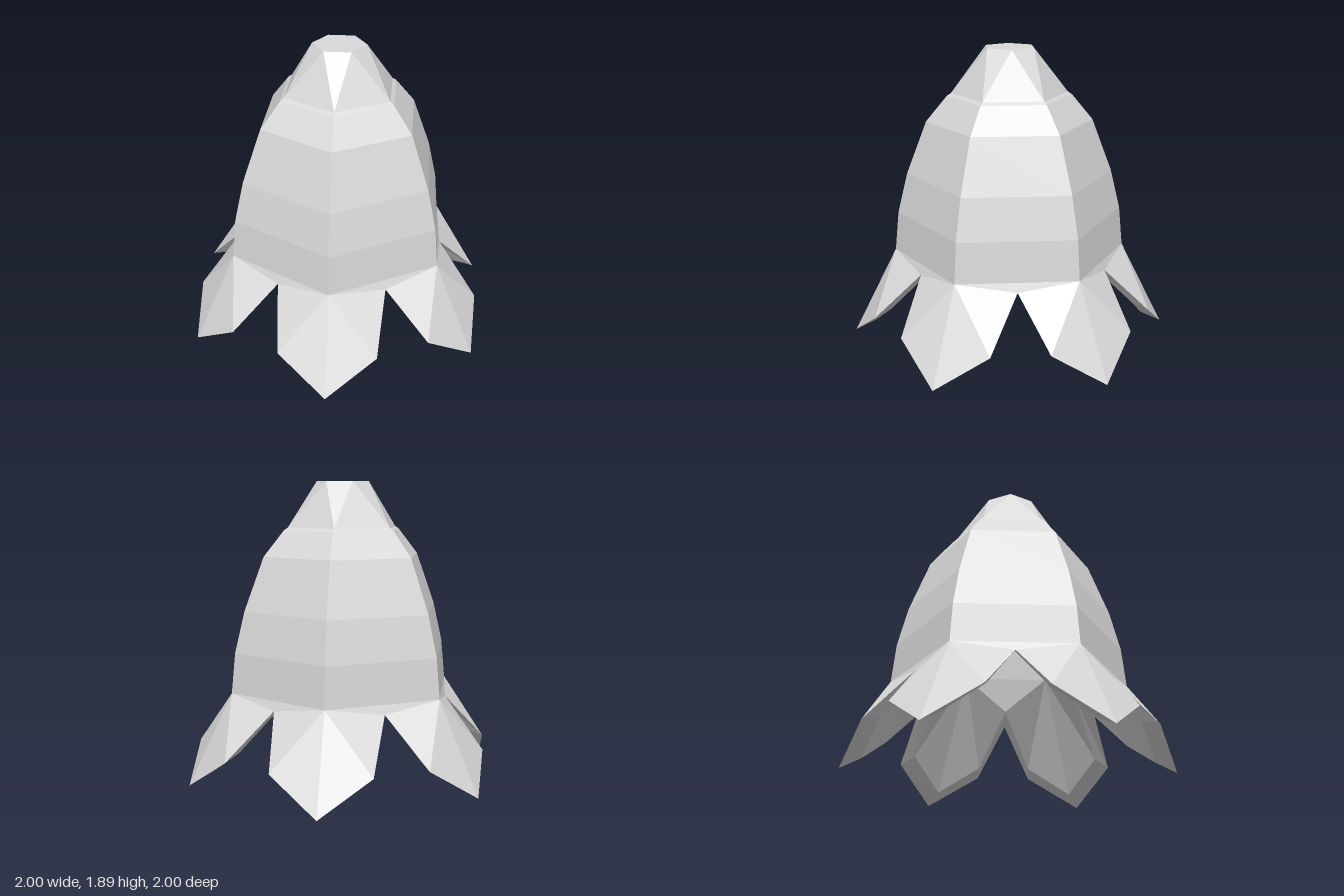
import * as THREE from 'three';

const SIDES = 6;
const START = 15; // degrees, first corner of the hexagon

// Point from angle (degrees), radius and height
const polar = (deg, r, y) => {
  const a = THREE.MathUtils.degToRad(deg);
  return new THREE.Vector3(r * Math.cos(a), y, r * Math.sin(a));
};

// Collects triangles and quads into a faceted mesh
function facets(name, material, build) {
  const points = [];
  const tri = (a, b, c, flip = false) => points.push(...(flip ? [a, c, b] : [a, b, c]));
  const quad = (a, b, c, d, flip = false) => { tri(a, b, c, flip); tri(a, c, d, flip); };
  build(tri, quad);
  const geometry = new THREE.BufferGeometry().setFromPoints(points);
  geometry.computeVertexNormals();
  const mesh = new THREE.Mesh(geometry, material);
  mesh.name = name;
  return mesh;
}

// Six-sided shell through rings of [radius, height], listed from the bottom up
function shell(name, material, rings, inward = false) {
  return facets(name, material, (tri, quad) => {
    for (let k = 0; k < SIDES; k++) {
      const a = START + 60 * k, b = a + 60;
      for (let i = 0; i + 1 < rings.length; i++) {
        const [r0, y0] = rings[i], [r1, y1] = rings[i + 1];
        quad(polar(a, r0, y0), polar(a, r1, y1), polar(b, r1, y1), polar(b, r0, y0), inward);
      }
    }
  });
}

export function createModel() {
  const model = new THREE.Group();
  model.name = 'bellFlower';
  const grey = new THREE.MeshStandardMaterial({ color: 0xd9d9d9 });
  grey.name = 'light grey';

  // Domed body with a sloping lip that meets the cap, and its hollow inside
  model.add(shell('body', grey, [
    [0.752, 0.567], [0.727, 0.82], [0.663, 1.08], [0.533, 1.42], [0.398, 1.583], [0.372, 1.6],
  ]));
  model.add(shell('bodyLining', grey, [
    [0.545, 0.79], [0.505, 1.02], [0.4, 1.3], [0.28, 1.46], [0, 1.46],
  ], true));

  // Flared skirt of six pointed petals with thick rims
  const outer = { corner: [0.752, 0.567], notch: [0.672, 0.51], side: [0.935, 0.21], tip: [1.035, 0], spread: 19 };
  const inner = { corner: [0.545, 0.79], notch: [0.525, 0.57], side: [0.82, 0.25], tip: [0.9, 0.065], spread: 18 };
  model.add(facets('petals', grey, (tri, quad) => {
    for (let k = 0; k < SIDES; k++) {
      const a = START + 60 * k, b = a + 60;
      const rims = [outer, inner].map((p, layer) => {
        const c1 = polar(a, ...p.corner), c2 = polar(b, ...p.corner);
        const t1 = polar(a, ...p.tip), t2 = polar(b, ...p.tip);
        const s1 = polar(a + p.spread, ...p.side), s2 = polar(b - p.spread, ...p.side);
        const n = polar(a + 30, ...p.notch);
        const flip = layer === 1;
        tri(n, c1, c2, flip);
        tri(s1, c1, n, flip);
        tri(t1, c1, s1, flip);
        tri(s2, n, c2, flip);
        tri(t2, s2, c2, flip);
        return [t1, s1, n, s2, t2];
      });
      for (let i = 0; i < 4; i++) {
        quad(rims[0][i], rims[0][i + 1], rims[1][i + 1], rims[1][i]);
      }
    }
  }));

  // Tapered cap whose top is turned half a side against its base
  model.add(facets('cap', grey, (tri) => {
    const top = new THREE.Vector3(0, 1.89, 0);
    for (let k = 0; k < SIDES; k++) {
      const a = START + 60 * k;
      const b1 = polar(a, 0.372, 1.6), b2 = polar(a + 60, 0.372, 1.6);
      const t1 = polar(a + 30, 0.168, 1.89), t2 = polar(a + 90, 0.168, 1.89);
      tri(b1, t1, b2);
      tri(b2, t1, t2);
      tri(top, t2, t1);
    }
  }));

  return model;
}
